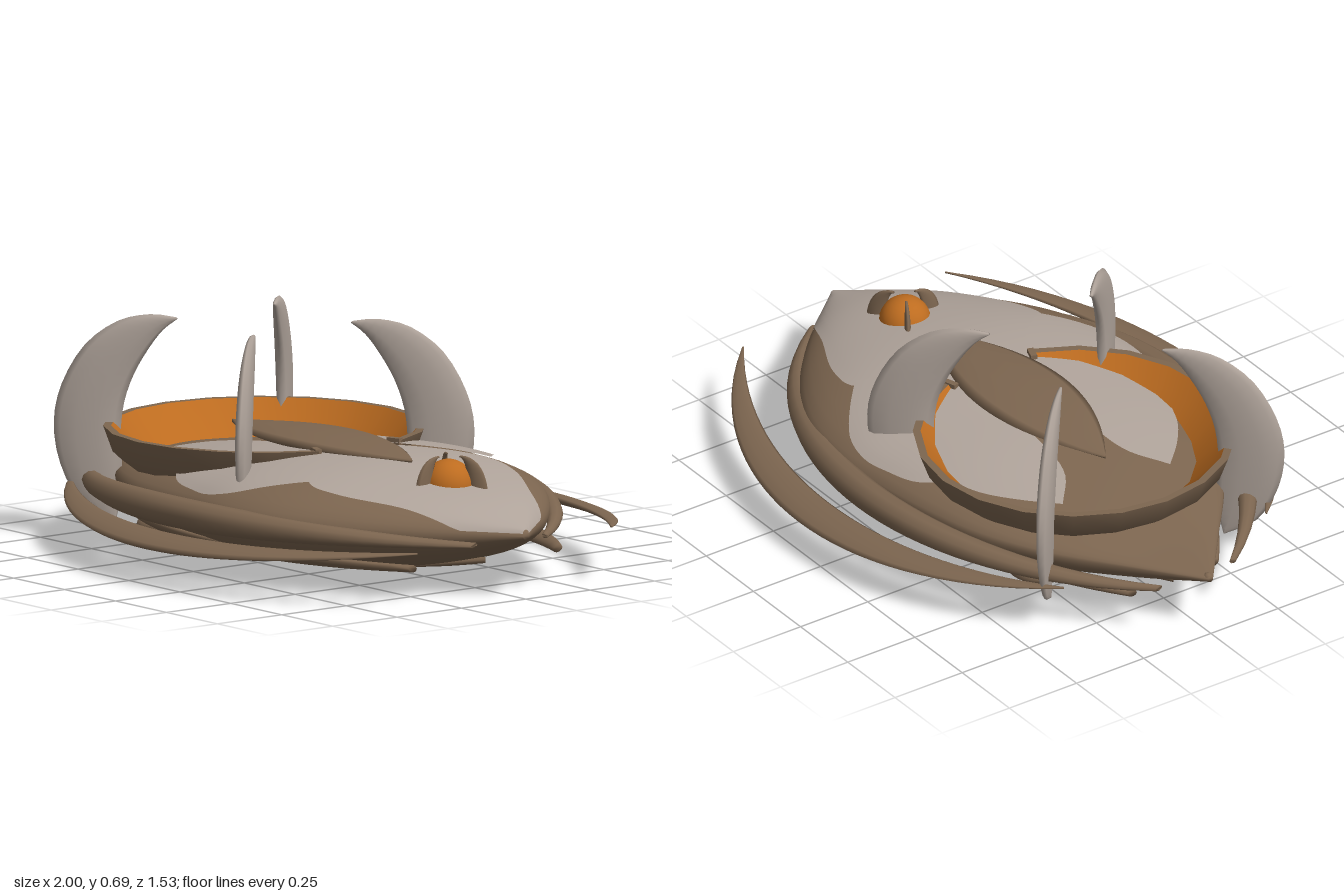
import * as THREE from 'three';

const brown = new THREE.MeshStandardMaterial({ color: 0x7d6650 });
brown.name = 'bronze brown';
const gray = new THREE.MeshStandardMaterial({ color: 0xb0a49b });
gray.name = 'warm gray';
const orange = new THREE.MeshStandardMaterial({ color: 0xbd6c20 });
orange.name = 'orange';

const V = (x, y, z) => new THREE.Vector3(x, y, z);
const lerp = THREE.MathUtils.lerp;

// Smooth function through a few [x, value] points
function profile(points) {
  const curve = new THREE.CubicInterpolant(points.map(p => p[0]), points.map(p => p[1]), 1);
  return x => Math.max(0, curve.evaluate(x)[0]);
}

// Closed skin over a row of cross-sections, always facing outward
function loft(sections) {
  const n = sections[0].length, pts = sections.flat(), index = [];
  for (let i = 0; i < sections.length - 1; i++) {
    for (let j = 0; j < n; j++) {
      const a = i * n + j, b = i * n + (j + 1) % n;
      index.push(a, b, a + n, b, b + n, a + n);
    }
  }
  const last = (sections.length - 1) * n;
  for (let j = 1; j < n - 1; j++) {
    index.push(0, j + 1, j, last, last + j, last + j + 1);
  }
  let volume = 0;
  const cross = V(0, 0, 0);
  for (let i = 0; i < index.length; i += 3) {
    volume += pts[index[i]].dot(cross.crossVectors(pts[index[i + 1]], pts[index[i + 2]]));
  }
  if (volume < 0) index.reverse();
  const geometry = new THREE.BufferGeometry().setFromPoints(pts);
  geometry.setIndex(index);
  geometry.computeVertexNormals();
  return geometry;
}

// Blade with lens-like sections between two edge functions
function blade(edgeA, edgeB, thickness, steps = 24, sides = 10) {
  const sections = [];
  for (let i = 0; i <= steps; i++) {
    const t = i / steps, a = edgeA(t), b = edgeB(t), thick = thickness(t);
    const mid = a.clone().add(b).multiplyScalar(0.5), half = a.clone().sub(mid);
    sections.push(Array.from({ length: sides }, (_, j) => {
      const q = j / sides * Math.PI * 2;
      return mid.clone().addScaledVector(half, Math.cos(q)).addScaledVector(thick, Math.sin(q));
    }));
  }
  return loft(sections);
}

// Hull plan width, height above and depth below the waterline at y = 0.2
const WATERLINE = 0.2;
const width = profile([[-1, 0.008], [-0.8, 0.17], [-0.6, 0.33], [-0.4, 0.44], [-0.2, 0.5], [0, 0.535],
  [0.2, 0.555], [0.4, 0.52], [0.6, 0.41], [0.8, 0.24], [1, 0.012]]);
const rise = profile([[-1, 0.008], [-0.8, 0.035], [-0.6, 0.07], [-0.4, 0.1], [-0.2, 0.125], [0, 0.14],
  [0.2, 0.15], [0.4, 0.145], [0.6, 0.12], [0.8, 0.08], [1, 0.014]]);
const depth = profile([[-1, 0.01], [-0.8, 0.075], [-0.5, 0.14], [0, 0.188], [0.4, 0.172], [0.8, 0.09], [1, 0.012]]);
const hullTop = (x, z) => WATERLINE + rise(x) * Math.sqrt(Math.max(0, 1 - (z / width(x)) ** 2));

function hullGeometry() {
  const sections = [];
  for (let i = 0; i <= 50; i++) {
    const x = -1 + i / 25;
    sections.push(Array.from({ length: 40 }, (_, j) => {
      const q = j / 40 * Math.PI * 2, s = Math.sin(q);
      return V(x, WATERLINE + s * (s > 0 ? rise(x) : depth(x)), width(x) * Math.cos(q));
    }));
  }
  return loft(sections);
}

// Thin plate following the top of the hull between two z limits
function plate(x0, x1, zLow, zHigh, lift) {
  const geometry = new THREE.PlaneGeometry(1, 1, 36, 20).rotateX(-Math.PI / 2);
  const p = geometry.attributes.position;
  for (let i = 0; i < p.count; i++) {
    const x = lerp(x0, x1, p.getX(i) + 0.5), limit = width(x) * 0.985;
    const z = THREE.MathUtils.clamp(lerp(zLow(x), zHigh(x), p.getZ(i) + 0.5), -limit, limit);
    p.setXYZ(i, x, hullTop(x, z) + lift, z);
  }
  geometry.computeVertexNormals();
  return geometry;
}

export function createModel() {
  const model = new THREE.Group();
  const add = (name, geometry, material, parent = model) => {
    const mesh = new THREE.Mesh(geometry, material);
    mesh.name = name;
    parent.add(mesh);
    return mesh;
  };

  add('hull', hullGeometry(), brown);

  // Gray deck plates: one on the nose, one lobe on each side
  const noseEdge = profile([[0.1, 0.1], [0.2, 0.17], [0.38, 0.35], [0.5, 0.345], [0.7, 0.25], [0.9, 0.14], [1, 0.02]]);
  add('noseDeck', plate(0.1, 1, x => -noseEdge(x), noseEdge, 0.006), gray);
  const lobeOut = profile([[-0.5, 0.2], [-0.42, 0.28], [-0.32, 0.355], [-0.2, 0.41], [-0.12, 0.47], [0, 0.505],
    [0.1, 0.52], [0.2, 0.5], [0.3, 0.43], [0.4, 0.34]]);
  const lobeIn = profile([[-0.5, 0.2], [-0.4, 0.12], [-0.2, 0.09], [0, 0.08], [0.2, 0.15], [0.3, 0.23], [0.4, 0.34]]);
  add('leftDeckLobe', plate(-0.5, 0.4, lobeIn, lobeOut, 0.013), gray);
  add('rightDeckLobe', plate(-0.5, 0.4, x => -lobeOut(x), x => -lobeIn(x), 0.013), gray);

  // Leaf-shaped spine over the deck and keel under the hull
  const leaf = (half, wide, y, sag) => side => t => {
    const u = 2 * t - 1;
    return V(half * u, y + sag * u * u, side * (wide * (1 - u * u) + 0.002));
  };
  const spine = leaf(0.44, 0.15, 0.362, -0.008);
  add('spineLeaf', blade(spine(1), spine(-1), t => V(0, 0.006 + 0.018 * Math.sin(Math.PI * t), 0)), brown);
  const keel = leaf(0.8, 0.2, 0.028, 0.07);
  add('keelLeaf', blade(keel(1), keel(-1), t => V(0, 0.01 + 0.014 * Math.sin(Math.PI * t), 0)), brown);

  // Curved bands and outrigger wings along both flanks; skew spreads the front end
  const arc = (x0, x1, zEnd, zMid, yEnd, yMid, skew = 0) => side => t => {
    const u = 2 * t - 1, bulge = 1 - u * u;
    const half = (x1 - x0) / 2, sag = zMid - zEnd;
    const radius = (half * half + sag * sag) / (2 * sag);
    const z = Math.sqrt(radius * radius - half * half * u * u) - radius + zMid + skew * u;
    return V(lerp(x0, x1, t), lerp(yEnd, yMid, bulge), side * z);
  };
  for (const side of [1, -1]) {
    const label = side > 0 ? 'left' : 'right';
    const swell = (a, b) => t => V(0, a + b * Math.sin(Math.PI * t), 0);
    add(label + 'RimBand', blade(arc(-0.92, 0.92, 0.15, 0.625, 0.172, 0.2)(side),
      arc(-0.92, 0.92, 0.125, 0.53, 0.178, 0.2)(side), swell(0.008, 0.04), 32), brown);
    add(label + 'LowerBand', blade(arc(-0.8, 0.8, 0.235, 0.49, 0.105, 0.11, 0.065)(side),
      arc(-0.8, 0.8, 0.2, 0.41, 0.1, 0.08, 0.065)(side), swell(0.012, 0.006), 32), brown);
    add(label + 'OutriggerWing', blade(arc(-0.76, 0.945, 0.378, 0.765, 0.178, 0.122)(side),
      arc(-0.755, 0.94, 0.374, 0.65, 0.18, 0.148)(side), swell(0.003, 0.013), 32), brown);

    // Thruster pods under the tail: an orange lens held in a ring
    const pod = new THREE.Group();
    pod.name = label + 'Thruster';
    pod.position.set(-0.44, 0.06, side * 0.24);
    model.add(pod);
    add('thrusterRing', new THREE.TorusGeometry(0.085, 0.02, 10, 28).rotateX(Math.PI / 2), brown, pod);
    add('thrusterGlow', new THREE.SphereGeometry(0.08, 24, 12).scale(1, 0.25, 1), orange, pod);
  }

  // Open collar around the rear deck, orange inside
  const collar = new THREE.Group();
  collar.name = 'collar';
  collar.position.x = -0.28;
  model.add(collar);
  const gap = 0.33;
  const turn = points => new THREE.LatheGeometry(points.map(p => new THREE.Vector2(...p)), 18,
    Math.PI / 2 + gap, Math.PI * 2 - gap * 2);
  add('collarOuter', turn([[0.4, 0.235], [0.465, 0.285], [0.494, 0.365]]), brown, collar);
  add('collarLip', turn([[0.494, 0.365], [0.47, 0.365]]), brown, collar);
  add('collarInner', turn([[0.47, 0.365], [0.425, 0.315], [0.37, 0.26]]), orange, collar);
  for (const side of [1, -1]) {
    const post = add('collarPost', new THREE.BoxGeometry(0.045, 0.1, 0.02), brown, collar);
    post.position.set(0.468 * Math.cos(gap), 0.32, side * 0.468 * Math.sin(gap));
    post.rotation.y = -side * gap;
  }

  // Four upright sickle fins on the diagonals of the collar
  const finOuter = new THREE.SplineCurve([[0.46, 0.05], [0.56, 0.11], [0.625, 0.23], [0.645, 0.36], [0.62, 0.48],
    [0.55, 0.6], [0.45, 0.675], [0.35, 0.698], [0.27, 0.69]].map(p => new THREE.Vector2(...p)));
  const finInner = new THREE.SplineCurve([[0.455, 0.055], [0.44, 0.13], [0.435, 0.22], [0.44, 0.32], [0.43, 0.42],
    [0.4, 0.51], [0.355, 0.59], [0.31, 0.65], [0.265, 0.685]].map(p => new THREE.Vector2(...p)));
  const onCurve = curve => t => {
    const p = curve.getPoint(t);
    return V(p.x, p.y, 0);
  };
  const finGeometry = blade(onCurve(finOuter), onCurve(finInner),
    t => V(0, 0, 0.004 + 0.02 * Math.sin(Math.PI * t)));
  for (let i = 0; i < 4; i++) {
    const fin = add('sickleFin', finGeometry, gray);
    fin.position.x = -0.285;
    fin.rotation.y = Math.PI / 4 + i * Math.PI / 2;
  }

  // Orange dome held by three claws on the nose
  const dome = new THREE.Group();
  dome.name = 'noseDome';
  dome.position.set(0.62, 0.305, 0);
  model.add(dome);
  add('domeBall', new THREE.SphereGeometry(0.08, 24, 16), orange, dome);
  const clawGeometry = blade(
    t => V(0.13 - 0.09 * t * t, -0.03 + 0.124 * Math.sin(t * Math.PI / 2), 0),
    t => V(0.065 - 0.03 * t * t, -0.03 + 0.118 * Math.sin(t * Math.PI / 2), 0),
    t => V(0, 0, 0.013 - 0.009 * t), 10, 8);
  for (let i = 0; i < 3; i++) {
    add('domeClaw', clawGeometry, brown, dome).rotation.y = -Math.PI / 2 + i * Math.PI * 2 / 3;
  }

  // Small knobs at bow and stern
  for (const x of [-0.985, 0.985]) {
    add(x > 0 ? 'bowKnob' : 'sternKnob', new THREE.SphereGeometry(0.015, 12, 8), brown).position.set(x, WATERLINE, 0);
  }
  return model;
}
